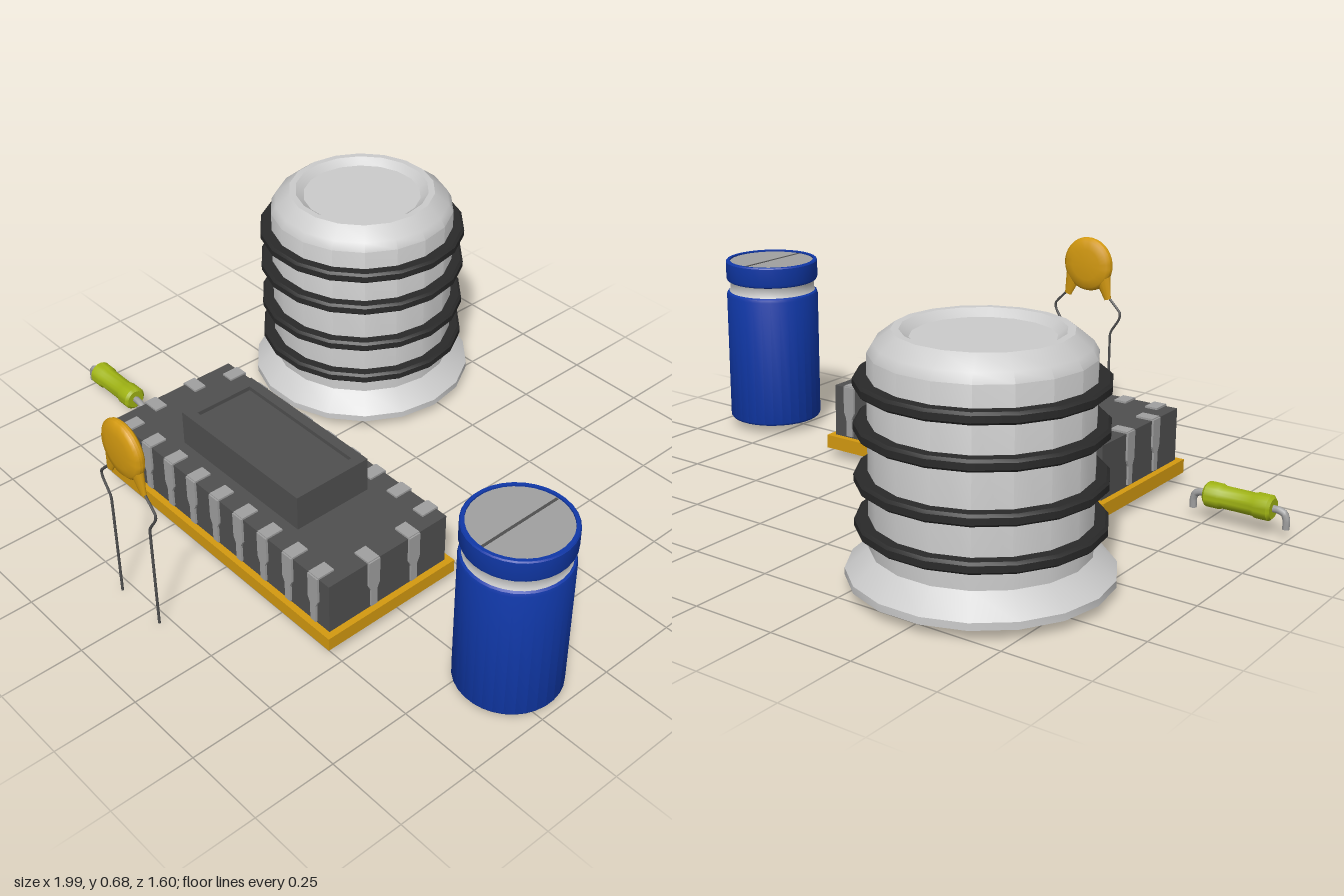
import * as THREE from 'three';
import { toCreasedNormals } from 'three/addons/utils/BufferGeometryUtils.js';

const mat = (color) => new THREE.MeshStandardMaterial({ color });
const GREY = mat(0xcccccc), SILVER = mat(0xa0a0a0), DARK = mat(0x505050), BLACK = mat(0x2a2a2a);
const BLUE = mat(0x1038a8), AMBER = mat(0xd49a10), LIME = mat(0xa0b414);

function add(parent, name, geo, material, x = 0, y = 0, z = 0) {
  const mesh = new THREE.Mesh(geo, material);
  mesh.name = name;
  mesh.position.set(x, y, z);
  parent.add(mesh);
  return mesh;
}
function group(parent, name, x = 0, y = 0, z = 0) {
  const g = new THREE.Group();
  g.name = name;
  g.position.set(x, y, z);
  parent.add(g);
  return g;
}
const v2 = (points) => points.map(([x, y]) => new THREE.Vector2(x, y));
const lathe = (points, sides, crease = 0.6) =>
  toCreasedNormals(new THREE.LatheGeometry(v2(points), sides, Math.PI / sides), crease);
const box = (w, h, d) => new THREE.BoxGeometry(w, h, d);
const wire = (points, radius, segments = 24, tension = 0.3) => new THREE.TubeGeometry(
  new THREE.CatmullRomCurve3(points.map(([x, y]) => new THREE.Vector3(x, y, 0)), false, 'catmullrom', tension),
  segments, radius, 8);

// Rectangular frame lying flat, with its underside at y = 0
function frame(w, d, border, h) {
  const rect = (a, b) => v2([[-a, -b], [a, -b], [a, b], [-a, b]]);
  const shape = new THREE.Shape(rect(w / 2, d / 2));
  shape.holes.push(new THREE.Path(rect(w / 2 - border, d / 2 - border).reverse()));
  return new THREE.ExtrudeGeometry(shape, { depth: h, bevelEnabled: false }).rotateX(-Math.PI / 2);
}

// Ribbed drum with flared foot, dished top and black rings
function buildDrum(root) {
  const g = group(root, 'drum', -0.485, 0, -0.455);
  add(g, 'drumBody', lathe([
    [0, 0.03], [0.352, 0.03], [0.352, 0.05], [0.29, 0.105], [0.29, 0.62], [0.275, 0.645],
    [0.23, 0.68], [0.21, 0.68], [0.185, 0.66], [0, 0.66]], 18), GREY);
  for (const y of [0.175, 0.296, 0.432, 0.547]) {
    add(g, 'drumRing', lathe([
      [0.28, -0.016], [0.318, -0.016], [0.326, -0.009], [0.326, 0.009], [0.318, 0.016], [0.28, 0.016]],
    18), BLACK, 0, y, 0);
  }
}

// Upright can with a pinched neck
function buildCan(root) {
  const g = group(root, 'canCapacitor', 0.845, 0, 0.22);
  add(g, 'canSleeve', lathe([
    [0.135, 0.03], [0.146, 0.03], [0.15, 0.036], [0.15, 0.447], [0.147, 0.456], [0.138, 0.462]], 32), BLUE);
  add(g, 'canNeck', lathe([[0.144, 0.455], [0.138, 0.465], [0.138, 0.488], [0.144, 0.5]], 32), GREY);
  add(g, 'canRim', lathe([
    [0.138, 0.492], [0.147, 0.497], [0.15, 0.505], [0.15, 0.558], [0.147, 0.562], [0.137, 0.562],
    [0.137, 0.552]], 32), BLUE);
  add(g, 'canBottom', new THREE.CylinderGeometry(0.137, 0.137, 0.02, 32), SILVER, 0, 0.041, 0);
  add(g, 'canTop', new THREE.CylinderGeometry(0.138, 0.138, 0.05, 32), SILVER, 0, 0.532, 0);
  add(g, 'canTopSlot', box(0.008, 0.002, 0.268), DARK, 0, 0.557, 0);
}

// Chip pin: top pad, wide shoulder and narrow tip, facing +z
function buildPin(parent, x, z, turn) {
  const g = group(parent, 'pin', x, 0, z);
  g.rotation.y = turn;
  const side = new THREE.Shape(v2([
    [-0.011, 0.078], [0.011, 0.078], [0.011, 0.135], [0.02, 0.155], [0.02, 0.238], [-0.02, 0.238],
    [-0.02, 0.155], [-0.011, 0.135]]));
  add(g, 'pinLeg', new THREE.ExtrudeGeometry(side, { depth: 0.012, bevelEnabled: false }), SILVER, 0, 0, -0.004);
  add(g, 'pinPad', box(0.04, 0.014, 0.055), SILVER, 0, 0.234, -0.024);
}

// Chip in its socket frame
function buildChip(root) {
  const g = group(root, 'chip', -0.0375, 0, 0.285);
  add(g, 'socketFrame', frame(1.015, 0.47, 0.06, 0.042), AMBER, 0, 0.03, 0);
  add(g, 'chipBody', box(0.975, 0.17, 0.43), DARK, 0, 0.15, 0);
  add(g, 'lidBase', box(0.51, 0.1, 0.25), DARK, 0, 0.283, 0);
  add(g, 'lidRim', frame(0.516, 0.256, 0.032, 0.113), DARK, 0, 0.233, 0);
  for (let i = 0; i < 9; i++) {
    const x = (i - 4) * 0.107;
    buildPin(g, x, 0.214, 0);
    buildPin(g, x, -0.214, Math.PI);
  }
  for (const z of [-0.065, 0.082]) buildPin(g, -0.486, z, -Math.PI / 2);
  for (const z of [-0.09, 0.058]) buildPin(g, 0.486, z, Math.PI / 2);
}

// Disc capacitor on two thin kinked leads
function buildDisc(root) {
  const g = group(root, 'discCapacitor', -0.033, 0, 0.78);
  const disc = add(g, 'disc', lathe([
    [0, -0.021], [0.05, -0.02], [0.076, -0.015], [0.086, -0.007], [0.088, 0], [0.086, 0.007],
    [0.076, 0.015], [0.05, 0.02], [0, 0.021]], 32, 0.9), AMBER, 0, 0.562, 0);
  disc.rotation.x = Math.PI / 2;
  for (const s of [-1, 1]) {
    const foot = add(g, 'discFoot', new THREE.CylinderGeometry(0.032, 0.012, 0.085, 12), AMBER, s * 0.063, 0.494, 0);
    foot.scale.z = 0.5;
    foot.rotation.z = s * 0.3;
    add(g, 'discLead', wire([
      [s * 0.07, 0.47], [s * 0.09, 0.45], [s * 0.123, 0.415], [s * 0.118, 0.39], [s * 0.092, 0.35],
      [s * 0.088, 0.32], [s * 0.088, 0]], 0.004, 40), DARK);
  }
}

// Small resistor lying along x with bent leads
function buildResistor(root) {
  const g = group(root, 'resistor', -0.846, 0, 0.285);
  const half = [[0, 0.103], [0.029, 0.103], [0.037, 0.095], [0.037, 0.056], [0.033, 0.046]];
  const profile = [...half.map(([r, y]) => [r, -y]), ...half.reverse()];
  const body = add(g, 'resistorBody', lathe(profile, 20, 0.7), LIME, 0, 0.08, 0);
  body.rotation.z = Math.PI / 2;
  for (const s of [-1, 1]) {
    const lead = wire([[s * 0.09, 0.08], [s * 0.118, 0.08], [s * 0.136, 0.073], [s * 0.143, 0.055], [s * 0.143, 0.03]],
      0.011, 16);
    add(g, 'resistorLead', lead, SILVER);
    add(g, 'resistorLeadEnd', new THREE.CylinderGeometry(0.011, 0.011, 0.004, 8), SILVER, s * 0.143, 0.031, 0);
  }
}

export function createModel() {
  const root = new THREE.Group();
  root.name = 'electronicParts';
  buildDrum(root);
  buildCan(root);
  buildChip(root);
  buildDisc(root);
  buildResistor(root);
  return root;
}
